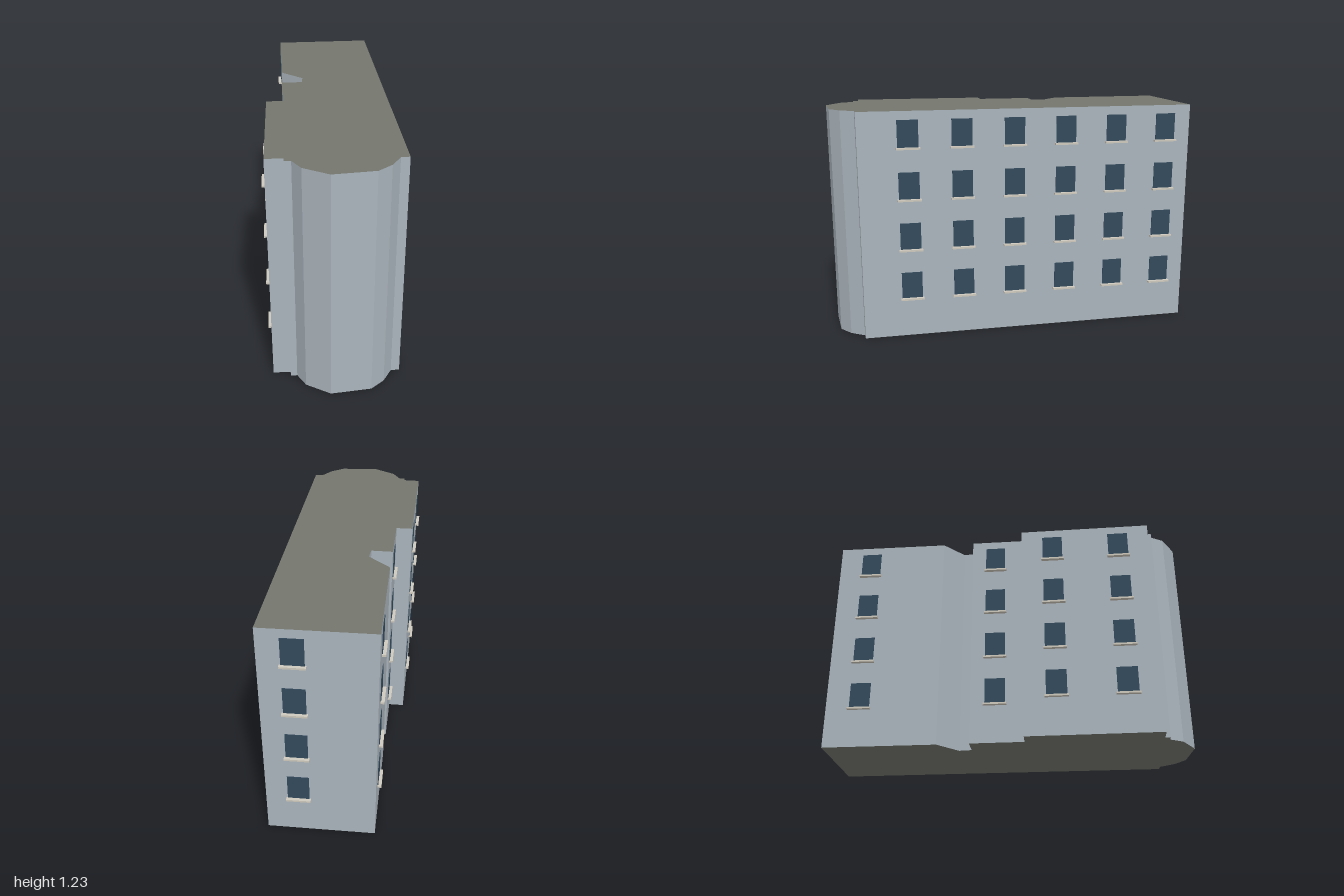
import * as THREE from 'three';

const HEIGHT = 1.225;

// Footprint corners as [x, z], starting at the back
const PLAN = [
  [-0.42, -0.90], [0.125, -1.0],                        // back wall
  [0.418, 0.79], [0.375, 0.80],                         // long straight wall, small return
  [0.34, 0.88], [0.28, 0.945], [0.08, 0.998],           // faceted bay
  [-0.052, 0.945], [-0.105, 0.88],
  [-0.138, 0.885], [-0.142, 0.858], [-0.23, 0.87],      // front pier
  [-0.335, 0.17], [-0.25, 0.155],                       // front block and step
  [-0.295, -0.13], [-0.185, -0.147], [-0.19, -0.215], [-0.32, -0.30], // light well
];

// Window columns as [index of wall, fraction along that wall]
const COLUMNS = [[0, 0.7], [11, 0.24], [11, 0.757], [13, 0.54], [17, 0.7]];
for (let i = 0; i < 6; i++) COLUMNS.push([1, 0.078 + i * 0.1557]);

export function createModel() {
  const model = new THREE.Group();
  model.name = 'apartmentBlock';
  const mat = (color) => new THREE.MeshStandardMaterial({ color });
  const wallMat = mat(0xaab4bc), roofMat = mat(0x74766e);
  const glassMat = mat(0x334a5c), sillMat = mat(0xcfc9bd);

  // Body: roof and base take the cap material, walls the side material
  const shape = new THREE.Shape(PLAN.map(([x, z]) => new THREE.Vector2(x, -z)));
  const bodyGeo = new THREE.ExtrudeGeometry(shape, { depth: HEIGHT, bevelEnabled: false });
  bodyGeo.rotateX(-Math.PI / 2);
  const body = new THREE.Mesh(bodyGeo, [roofMat, wallMat]);
  body.name = 'buildingBody';
  model.add(body);

  // Windows: a flush pane with a projecting sill, four storeys per column
  const paneGeo = new THREE.BoxGeometry(0.11, 0.143, 0.006);
  const sillGeo = new THREE.BoxGeometry(0.125, 0.01, 0.02);
  for (const [wall, t] of COLUMNS) {
    const [ax, az] = PLAN[wall];
    const [bx, bz] = PLAN[(wall + 1) % PLAN.length];
    const column = new THREE.Group();
    column.name = 'windowColumn';
    column.position.set(ax + (bx - ax) * t, 0, az + (bz - az) * t);
    column.rotation.y = Math.atan2(bz - az, ax - bx); // face along the outward normal
    for (let floor = 0; floor < 4; floor++) {
      const y = 0.288 + floor * 0.2733;
      const pane = new THREE.Mesh(paneGeo, glassMat);
      pane.name = 'windowPane';
      pane.position.y = y;
      const sill = new THREE.Mesh(sillGeo, sillMat);
      sill.name = 'windowSill';
      sill.position.set(0, y - 0.0765, 0.01);
      column.add(pane, sill);
    }
    model.add(column);
  }
  return model;
}
